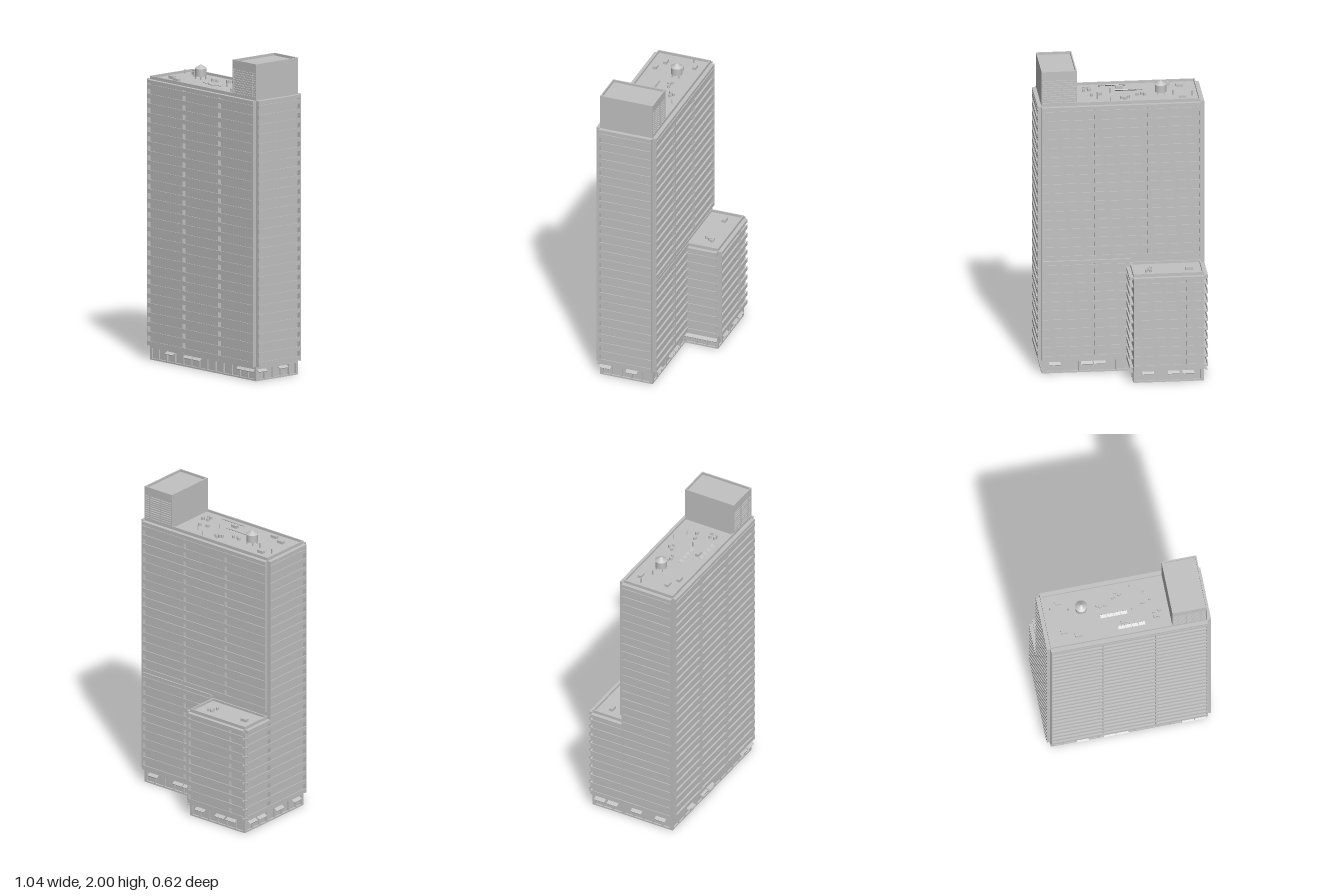
import * as THREE from 'three';

const concrete = new THREE.MeshStandardMaterial({ color: 0xc2c2c2 });

function add(parent, name, geometry, x = 0, y = 0, z = 0) {
  const mesh = new THREE.Mesh(geometry, concrete);
  mesh.name = name;
  mesh.position.set(x, y, z);
  parent.add(mesh);
  return mesh;
}

// Box given by its low and high limits on each axis
function block(parent, name, x0, x1, y0, y1, z0, z1) {
  return add(parent, name, new THREE.BoxGeometry(x1 - x0, y1 - y0, z1 - z0),
    (x0 + x1) / 2, (y0 + y1) / 2, (z0 + z1) / 2);
}

// Group whose local x runs along a wall from 0 to its length, with +z facing outwards
function wallFrame(parent, name, x, z, turn) {
  const g = new THREE.Group();
  g.name = name;
  g.position.set(x, 0, z);
  g.rotation.y = turn * Math.PI / 2;
  parent.add(g);
  return g;
}

const PITCH = 0.06, BASE = 0.09, DEEP = 0.025;

// Stacked balconies: floor slab, solid railing, dividing fins and a top cap
function balconies(wall, from, to, y0, y1, fins) {
  const mid = (from + to) / 2, len = to - from;
  const slab = new THREE.BoxGeometry(len, 0.007, DEEP);
  const rail = new THREE.BoxGeometry(len, 0.027, 0.005);
  for (let y = y0; y < y1 - 0.03; y += PITCH) {
    add(wall, 'balconySlab', slab, mid, y + 0.0085, DEEP / 2);
    add(wall, 'balconyRailing', rail, mid, y + 0.0185, DEEP - 0.0025);
  }
  block(wall, 'balconyCap', from, to, y1 - 0.02, y1, 0, DEEP);
  for (const f of fins) block(wall, 'balconyFin', f - 0.003, f + 0.003, y0, y1, 0, DEEP - 0.001);
}

// Ground storey: recessed panels between piers, with a plinth and a lintel
function groundWall(wall, from, to, awnings) {
  const len = to - from, n = Math.max(2, Math.round(len / 0.075));
  block(wall, 'groundPanel', from, to, 0, BASE, -0.016, -0.01);
  block(wall, 'groundPlinth', from, to, 0, 0.01, -0.012, 0);
  block(wall, 'groundLintel', from, to, 0.075, BASE, -0.012, 0);
  for (let i = 0; i <= n; i++) {
    const x = from + 0.005 + (len - 0.01) * i / n;
    block(wall, 'groundPier', x - 0.005, x + 0.005, 0.01, 0.075, -0.02, 0);
  }
  for (const a of awnings) {
    const awning = block(wall, 'awning', a - 0.037, a + 0.037, 0.064, 0.068, 0, 0.026);
    awning.rotation.x = 0.5;
  }
}

// Upper storeys with a parapet around a sunken roof deck
function shell(parent, name, x0, x1, z0, z1, deck, top) {
  const t = 0.008;
  block(parent, name + 'Core', x0, x1, BASE, deck, z0, z1);
  block(parent, name + 'Parapet', x0, x1, deck, top, z1 - t, z1);
  block(parent, name + 'Parapet', x0, x1, deck, top, z0, z0 + t);
  block(parent, name + 'Parapet', x0, x0 + t, deck, top, z0 + t, z1 - t);
  block(parent, name + 'Parapet', x1 - t, x1, deck, top, z0 + t, z1 - t);
}

const X = 0.495, ZF = 0.285, ZB = -0.065, WZ = -0.285, WX = -0.055;

function buildTower(parent) {
  const g = new THREE.Group();
  g.name = 'tower';
  parent.add(g);
  shell(g, 'tower', -X, X, ZB, ZF, 1.775, 1.79);
  const depth = ZF - ZB, width = 2 * X, inset = 0.003;
  const longFins = [inset, 0.33, 0.66, width - inset];

  const front = wallFrame(g, 'frontWall', -X, ZF, 0);
  balconies(front, 0, width, BASE, 1.77, longFins);
  groundWall(front, 0, width, [0.2, 0.37, 0.45, 0.865, 0.945]);

  const right = wallFrame(g, 'plusXWall', X, ZF, 1);
  balconies(right, 0, depth, BASE, 1.77, [inset, depth - inset]);
  groundWall(right, 0, depth, [0.04, 0.215]);

  const left = wallFrame(g, 'minusXWall', -X, ZB, 3);
  balconies(left, 0, depth, BASE, 1.77, [inset, depth - inset]);
  groundWall(left, 0, depth, [0.1, 0.27]);

  // The rear wall is free at full width only above the wing
  const back = wallFrame(g, 'backWall', X, ZB, 2);
  const free = X - WX;
  balconies(back, 0, free, BASE, 0.75, [inset, 0.33]);
  balconies(back, 0, width, 0.75, 1.77, longFins);
  groundWall(back, 0, free, [0.08, 0.28, 0.36]);
}

function buildWing(parent) {
  const g = new THREE.Group();
  g.name = 'rearWing';
  parent.add(g);
  shell(g, 'wing', -X, WX, WZ, ZB, 0.705, 0.72);
  const depth = ZB - WZ, width = WX + X;

  const back = wallFrame(g, 'wingBackWall', WX, WZ, 2);
  balconies(back, 0, width, BASE, 0.7, [0.003, 0.33]);
  groundWall(back, 0, width, [0.09, 0.25, 0.34]);

  const inner = wallFrame(g, 'wingInnerWall', WX, ZB, 1);
  balconies(inner, DEEP, depth, BASE, 0.7, []);
  groundWall(inner, 0, depth, [0.04, 0.11, 0.18]);

  const outer = wallFrame(g, 'wingOuterWall', -X, WZ, 3);
  balconies(outer, 0, depth, BASE, 0.7, []);
  groundWall(outer, 0, depth, [0.06, 0.15]);
}

// Louvred plant room on the roof
function buildPlantRoom(parent) {
  const g = new THREE.Group();
  g.name = 'plantRoom';
  parent.add(g);
  const x0 = 0.275, x1 = X, z0 = ZB, z1 = ZF, t = 0.008;
  block(g, 'plantCore', x0 + t, x1 - t, 1.775, 1.985, z0 + t, z1 - t);
  for (const [a, b, c, d] of [[x0, x1, z1 - t, z1], [x0, x1, z0, z0 + t],
    [x0, x0 + t, z0 + t, z1 - t], [x1 - t, x1, z0 + t, z1 - t]]) {
    block(g, 'plantParapet', a, b, 1.945, 2, c, d);
  }
  for (let y = 1.785; y < 1.94; y += 0.0145) {
    block(g, 'louvre', x0 + 0.001, x1 - 0.001, y, y + 0.008, z0 + 0.001, z1 - 0.001);
  }
  // Upright posts between the louvres
  for (const x of [x0 + 0.003, 0.365, 0.455, x1 - 0.003]) {
    block(g, 'louvrePost', x - 0.003, x + 0.003, 1.775, 1.95, z0, z1);
  }
  for (const z of [0.2, 0.1, 0.01]) {
    block(g, 'louvrePost', x0, x1, 1.775, 1.95, z - 0.003, z + 0.003);
  }
}

function buildRoofEquipment(parent) {
  const g = new THREE.Group();
  g.name = 'roofEquipment';
  parent.add(g);
  const deck = 1.775, low = 0.705;

  // Water tank on legs
  add(g, 'waterTank', new THREE.CylinderGeometry(0.036, 0.036, 0.048, 24), -0.26, 1.82, 0.07);
  add(g, 'tankRoof', new THREE.ConeGeometry(0.039, 0.026, 24), -0.26, 1.857, 0.07);
  for (const sx of [-1, 1]) for (const sz of [-1, 1]) {
    const x = -0.26 + sx * 0.022, z = 0.07 + sz * 0.022;
    block(g, 'tankLeg', x - 0.003, x + 0.003, deck, 1.8, z - 0.003, z + 0.003);
  }

  // Air handling units
  for (const [x, z, y] of [[-0.39, 0, deck], [-0.39, 0.193, deck], [-0.308, 0.23, deck],
    [-0.015, 0.197, deck], [-0.412, -0.19, low]]) {
    block(g, 'airUnit', x - 0.022, x + 0.022, y, y + 0.018, z - 0.012, z + 0.012);
  }

  // Round vents
  const vent = new THREE.CylinderGeometry(0.01, 0.01, 0.018, 10);
  for (const [x, z, y] of [[-0.16, 0.063, deck], [-0.142, 0.074, deck], [-0.112, 0.068, deck],
    [-0.054, 0.03, deck], [-0.042, 0.023, deck], [-0.032, 0.002, deck], [-0.012, 0.018, deck],
    [0.117, 0.094, deck], [0.126, 0.096, deck], [0.17, 0.08, deck], [0.178, 0.17, deck],
    [0.212, 0.164, deck], [0.18, 0.202, deck], [0.203, 0.203, deck],
    [-0.168, -0.209, low], [-0.144, -0.21, low], [-0.161, -0.187, low], [-0.174, -0.162, low]]) {
    add(g, 'vent', vent, x, y + 0.009, z);
  }

  // Thin pipes
  const pipe = new THREE.CylinderGeometry(0.004, 0.004, 0.032, 8);
  for (const [x, z] of [[-0.45, 0.032], [-0.338, 0.055], [0.062, -0.025], [0.14, 0.027], [0.048, 0.125]]) {
    add(g, 'pipe', pipe, x, deck + 0.016, z);
  }

  // Two rows of tilted panels
  const panel = new THREE.BoxGeometry(0.04, 0.003, 0.022);
  for (const [x0, z] of [[-0.152, 0.14], [-0.056, 0.232]]) {
    for (let i = 0; i < 4; i++) {
      add(g, 'tiltedPanel', panel, x0 + 0.02 + i * 0.043, deck + 0.009, z).rotation.x = 0.6;
    }
  }
}

export function createModel() {
  const model = new THREE.Group();
  model.name = 'apartmentTower';
  buildTower(model);
  buildWing(model);
  buildPlantRoom(model);
  buildRoofEquipment(model);
  return model;
}
